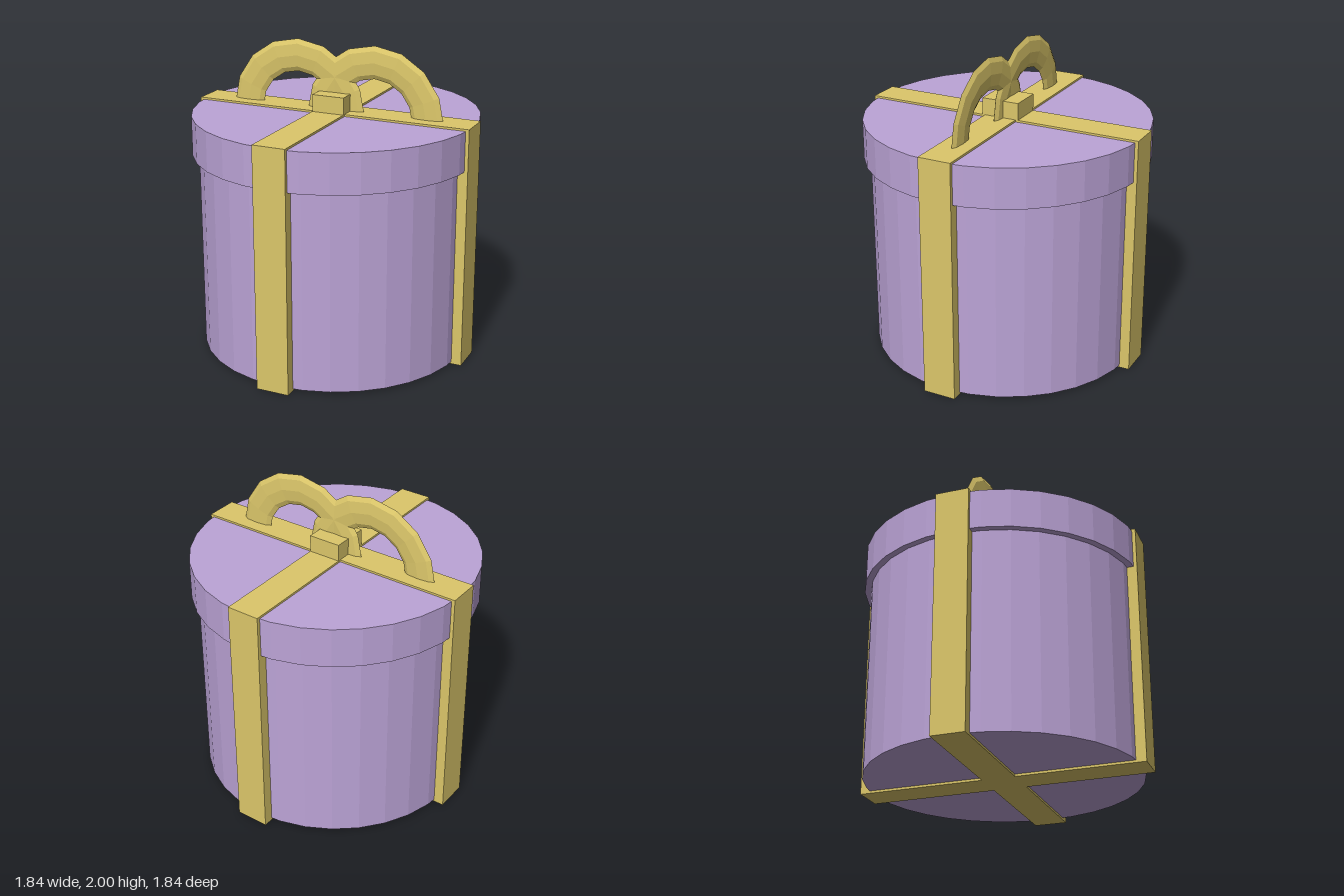
import * as THREE from 'three';

export function createModel() {
  const lilac = new THREE.MeshStandardMaterial({ color: 0xbca4d7, flatShading: true });
  lilac.name = 'lilac card';
  const gold = new THREE.MeshStandardMaterial({ color: 0xdcc76a, flatShading: true });
  gold.name = 'gold ribbon';

  const model = new THREE.Group();
  model.name = 'giftBox';

  const add = (name, geometry, material, x, y, z) => {
    const mesh = new THREE.Mesh(geometry, material);
    mesh.name = name;
    mesh.position.set(x, y, z);
    model.add(mesh);
    return mesh;
  };
  const drum = (name, radius, bottom, top) =>
    add(name, new THREE.CylinderGeometry(radius, radius, top - bottom, 32), lilac, 0, (bottom + top) / 2, 0);

  // Round box and its overhanging lid
  drum('boxBody', 0.875, 0.015, 1.4);
  drum('lid', 0.918, 1.3, 1.557);

  // Crossed ribbons wrapped round the box
  const width = 0.215, length = 1.86, height = 1.57;
  add('lengthRibbon', new THREE.BoxGeometry(width, height, length), gold, 0, height / 2, 0);
  add('crossRibbon', new THREE.BoxGeometry(length, height, width), gold, 0, height / 2, 0);

  // Knot and two flat bow loops standing along one ribbon
  add('bowKnot', new THREE.BoxGeometry(0.25, 0.14, width), gold, 0, 1.61, 0);
  for (const side of [1, -1]) {
    const loop = new THREE.TorusGeometry(0.36, 0.105, 8, 8, Math.PI);
    loop.scale(1, 1, 0.22);
    loop.rotateY(Math.PI / 2);
    add(side > 0 ? 'frontBowLoop' : 'backBowLoop', loop, gold, 0, 1.535, side * 0.265);
  }

  // The whole gift sits at an angle
  model.rotation.y = THREE.MathUtils.degToRad(32.5);
  const root = new THREE.Group();
  root.add(model);
  return root;
}
